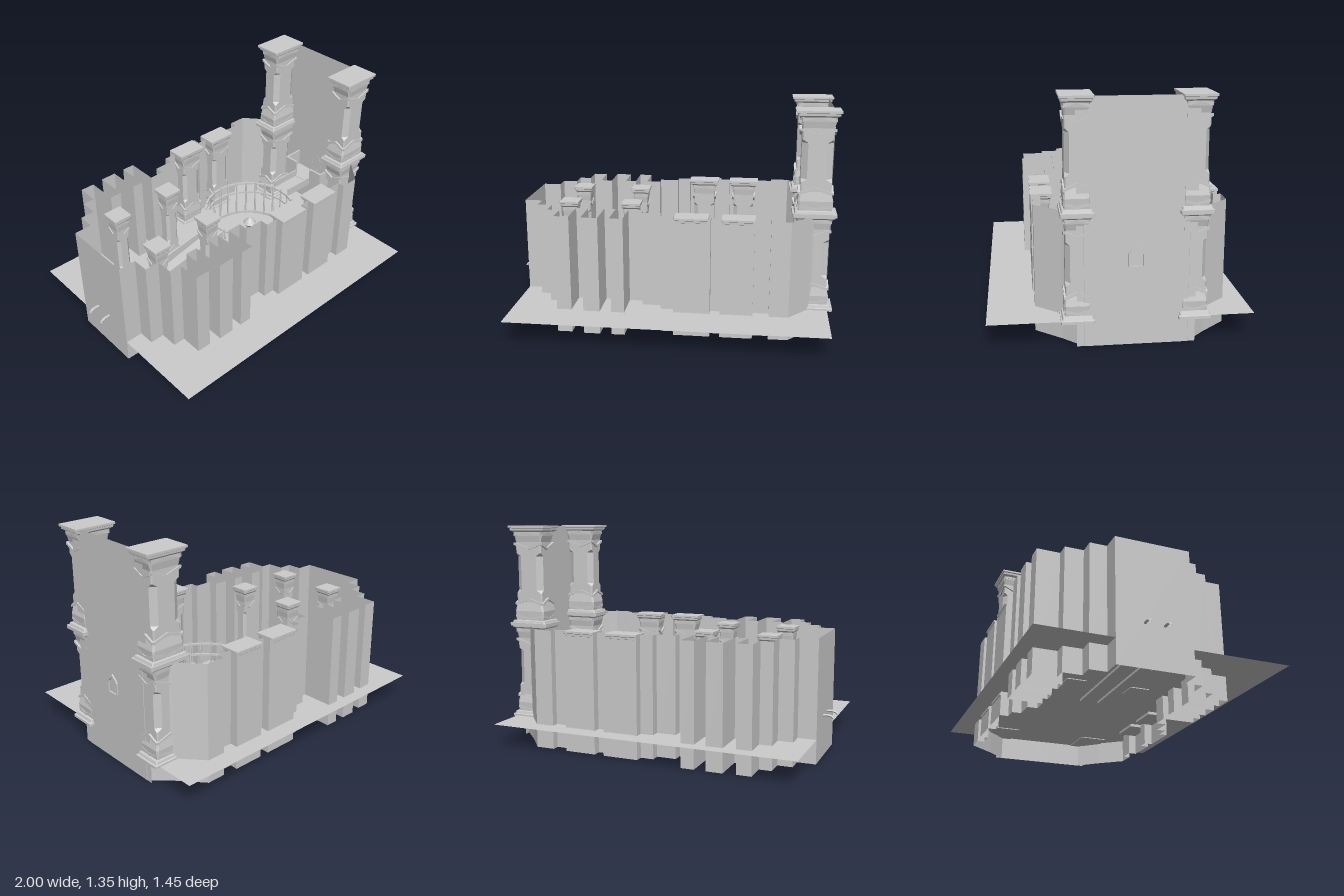
import * as THREE from 'three';

const mat = new THREE.MeshStandardMaterial({ color: 0xcccccc, flatShading: true, side: THREE.DoubleSide });
const FLOOR = 0.145, TOP = 0.73, MID = -0.08; // floor level, wall top, axis of symmetry in z

function mesh(name, geo, parent, x = 0, y = 0, z = 0) {
  const m = new THREE.Mesh(geo, mat);
  m.name = name;
  m.position.set(x, y, z);
  parent.add(m);
  return m;
}

const box = (name, parent, x0, x1, y0, y1, z0, z1) =>
  mesh(name, new THREE.BoxGeometry(x1 - x0, y1 - y0, z1 - z0), parent, (x0 + x1) / 2, (y0 + y1) / 2, (z0 + z1) / 2);

function build(pos, idx) {
  const g = new THREE.BufferGeometry();
  g.setAttribute('position', new THREE.Float32BufferAttribute(pos, 3));
  g.setIndex(idx);
  g.computeVertexNormals();
  return g;
}

// Loft of square sections with cut corners: [height, half width, corner cut]
function loft(sections) {
  const pos = [], idx = [];
  for (const [y, h, c] of sections) {
    const k = h - c;
    for (const [x, z] of [[h, -k], [h, k], [k, h], [-k, h], [-h, k], [-h, -k], [-k, -h], [k, -h]]) pos.push(x, y, z);
  }
  for (let s = 0; s < sections.length - 1; s++) {
    for (let i = 0; i < 8; i++) {
      const a = s * 8 + i, b = s * 8 + (i + 1) % 8;
      idx.push(a, a + 8, b, b, a + 8, b + 8);
    }
  }
  const t = (sections.length - 1) * 8;
  for (let i = 1; i < 7; i++) idx.push(0, i, i + 1, t, t + i + 1, t + i);
  return build(pos, idx);
}

// Column of unit height whose base and cap reach 1 on each side
const columnGeo = loft([
  [0, 1, 0.05], [0.025, 1, 0.05], [0.03, 0.92, 0.05], [0.055, 0.88, 0.05], [0.06, 0.76, 0.05],
  [0.15, 0.8, 0.1], [0.24, 0.7, 0.06], [0.33, 0.7, 0.06], [0.36, 0.7, 0.28], [0.7, 0.7, 0.28],
  [0.73, 0.7, 0.06], [0.84, 0.7, 0.06], [0.9, 0.78, 0.12], [0.94, 0.8, 0.05], [0.955, 0.92, 0.04],
  [0.975, 0.93, 0.04], [0.98, 1, 0.04], [1, 1, 0.04],
]);

// Bent band laid across one column face
function chevronGeo(rise) {
  const s = new THREE.Shape([[-0.72, 0], [0, rise], [0.72, 0], [0.72, 0.025], [0, rise + 0.025], [-0.72, 0.025]]
    .map(p => new THREE.Vector2(...p)));
  return new THREE.ExtrudeGeometry(s, { depth: 0.14, bevelEnabled: false });
}
const bands = [[0.09, -0.03], [0.21, 0.05], [0.81, -0.05], [0.9, 0.035]].map(([y, r]) => [y, chevronGeo(r)]);

function column(name, parent, x, z, hx, hz, y0, y1) {
  const g = new THREE.Group();
  g.name = name;
  mesh('shaft', columnGeo, g);
  for (let i = 0; i < 4; i++) {
    const a = i * Math.PI / 2;
    for (const [y, geo] of bands) {
      const m = mesh('chevronBand', geo, g, Math.sin(a) * 0.66, y, Math.cos(a) * 0.66);
      m.rotation.y = a;
    }
  }
  g.position.set(x, y0, z);
  g.scale.set(hx, y1 - y0, hz);
  parent.add(g);
}

export function createModel() {
  const root = new THREE.Group();
  root.name = 'hall';

  // Floor sheet
  const floor = mesh('floor', new THREE.PlaneGeometry(1.9, 1.45), root, 0.02, FLOOR, -0.005);
  floor.rotation.x = -Math.PI / 2;

  // Stepped outer wall: half outline as [x, distance from axis], mirrored about the axis
  const half = [
    [-0.93, 0.22], [-0.82, 0.22], [-0.82, 0.32], [-0.73, 0.32], [-0.73, 0.43], [-0.655, 0.43], [-0.655, 0.565],
    [-0.565, 0.565], [-0.565, 0.37], [-0.49, 0.37], [-0.49, 0.575], [-0.39, 0.575], [-0.39, 0.37], [-0.32, 0.37],
    [-0.32, 0.575], [-0.24, 0.575], [-0.24, 0.375], [-0.15, 0.375], [-0.15, 0.435], [-0.03, 0.435], [-0.03, 0.49],
    [0.05, 0.49], [0.05, 0.54], [0.27, 0.54], [0.27, 0.49], [0.33, 0.49], [0.33, 0.54], [0.525, 0.54], [0.525, 0.49],
    [0.62, 0.49], [0.62, 0.535], [0.735, 0.535], [0.86, 0.39], [0.97, 0.28],
  ];
  const ring = [...half.map(([x, d]) => [x, MID + d]), ...half.map(([x, d]) => [x, MID - d]).reverse()];
  const pos = [], idx = [];
  ring.forEach(([x, z], i) => {
    const [x2, z2] = ring[(i + 1) % ring.length];
    pos.push(x, 0, z, x2, 0, z2, x2, TOP, z2, x, TOP, z);
    const o = i * 4;
    idx.push(o, o + 1, o + 2, o, o + 2, o + 3);
  });
  mesh('outerWall', build(pos, idx), root);

  // Tall facade in two halves between the corner towers
  for (const s of [-1, 1]) {
    const p = mesh('facadePanel', new THREE.PlaneGeometry(0.32, 1.345), root, 0.968, 0.6725, MID + s * 0.16);
    p.rotation.y = Math.PI / 2;
  }

  // Pointed door frame on the facade
  const arch = (w, h, top) => [[-w, 0], [w, 0], [w, h], [w * 0.6, top - 0.02], [0, top], [-w * 0.6, top - 0.02], [-w, h]]
    .map(p => new THREE.Vector2(...p));
  const frame = new THREE.Shape(arch(0.046, 0.07, 0.115));
  frame.holes.push(new THREE.Path(arch(0.034, 0.065, 0.098)));
  const door = mesh('doorFrame', new THREE.ExtrudeGeometry(frame, { depth: 0.014, bevelEnabled: false }), root, 0.966, 0.445, MID);
  door.rotation.y = Math.PI / 2;

  for (const s of [-1, 1]) {
    // Two-tier corner towers
    column('towerLower', root, 0.87, MID + s * 0.315, 0.13, 0.09, 0.14, 0.745);
    column('towerUpper', root, 0.87, MID + s * 0.315, 0.13, 0.09, 0.725, 1.35);
    // Free-standing columns
    for (const x of [-0.64, -0.25]) column('innerColumn', root, x, MID + s * 0.195, 0.06, 0.06, 0.14, TOP + 0.004);
    // Wall pilasters
    for (const [x, w] of [[0.155, 0.1], [0.43, 0.098]])
      column('pilaster', root, x, MID + s * 0.483, w, 0.063, 0.125, TOP + 0.004);

    // Ramp side with curled handrail end
    const side = new THREE.Shape([[-0.93, 0.13], [0, 0.13], [0, 0.41], [-0.93, 0.25]].map(p => new THREE.Vector2(...p)));
    mesh('rampSide', new THREE.ExtrudeGeometry(side, { depth: 0.01, bevelEnabled: false }), root, 0, 0, MID + s * 0.057 - 0.005);
    const curl = new THREE.QuadraticBezierCurve3(
      new THREE.Vector3(-0.92, 0.25, 0), new THREE.Vector3(-0.985, 0.262, 0), new THREE.Vector3(-0.993, 0.233, 0));
    mesh('handrailEnd', new THREE.TubeGeometry(curl, 8, 0.008, 6), root, 0, 0, MID + s * 0.057);

    // Bridge parapet and balcony parapet
    box('bridgeParapet', root, 0.61, 0.83, 0.41, 0.46, MID + s * 0.065 - 0.004, MID + s * 0.065 + 0.004);
    box('balconyParapet', root, 0.83, 0.96, 0.41, 0.53, MID + s * 0.16 - 0.006, MID + s * 0.16 + 0.006);
    box('balconyFront', root, 0.825, 0.84, 0.41, 0.53, MID + s * 0.115 - 0.05, MID + s * 0.115 + 0.05);
  }

  // Ramp, bridge and balcony decks
  const ramp = new THREE.Shape([[-0.93, 0.15], [0, 0.36], [0, 0.37], [-0.93, 0.16]].map(p => new THREE.Vector2(...p)));
  mesh('rampDeck', new THREE.ExtrudeGeometry(ramp, { depth: 0.11, bevelEnabled: false }), root, 0, 0, MID - 0.055);
  box('bridgeDeck', root, 0.61, 0.83, 0.4, 0.412, MID - 0.065, MID + 0.065);
  box('balconyDeck', root, 0.825, 0.965, 0.4, 0.415, MID - 0.165, MID + 0.165);

  // Round balustrade
  const gallery = new THREE.Group();
  gallery.name = 'roundBalustrade';
  gallery.position.set(0.305, 0, MID);
  root.add(gallery);
  for (const [y, h] of [[0.405, 0.012], [0.33, 0.012], [0.15, 0.02]]) {
    const band = [[0.297, y], [0.312, y], [0.312, y + h], [0.297, y + h], [0.297, y]].map(p => new THREE.Vector2(...p));
    mesh('railRing', new THREE.LatheGeometry(band, 28), gallery);
  }
  const post = new THREE.CylinderGeometry(0.006, 0.008, 0.28, 6);
  for (let i = 0; i < 28; i++) {
    const a = i / 28 * Math.PI * 2;
    mesh('baluster', post, gallery, Math.cos(a) * 0.304, 0.285, Math.sin(a) * 0.304);
  }

  // Scalloped centrepiece
  const profile = [[0, FLOOR], [0.05, FLOOR], [0.05, 0.17], [0.025, 0.19], [0.02, 0.26], [0.045, 0.29], [0.03, 0.31], [0, 0.34]];
  mesh('centrepiece', new THREE.LatheGeometry(profile.map(p => new THREE.Vector2(...p)), 16), gallery);
  const lobe = new THREE.CylinderGeometry(0.014, 0.014, 0.03, 8);
  for (let i = 0; i < 8; i++) {
    const a = i / 8 * Math.PI * 2;
    mesh('lobe', lobe, gallery, Math.cos(a) * 0.047, 0.16, Math.sin(a) * 0.047);
  }
  return root;
}
